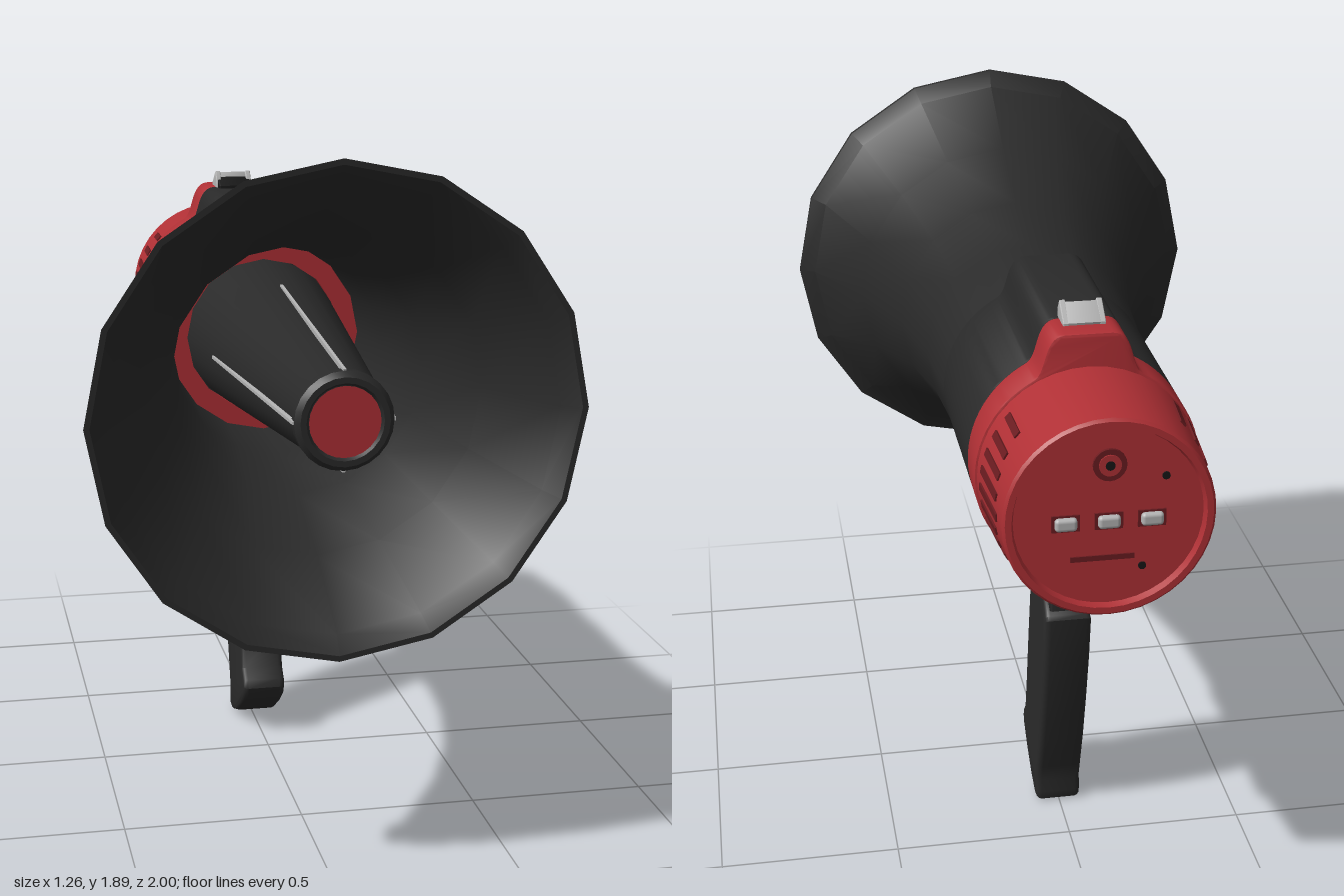
import * as THREE from 'three';
import { toCreasedNormals } from 'three/addons/utils/BufferGeometryUtils.js';
import { RoundedBoxGeometry } from 'three/addons/geometries/RoundedBoxGeometry.js';

const CY = 1.26; // height of the horn axis
const paint = (color) => new THREE.MeshStandardMaterial({ color, side: THREE.DoubleSide });

export function createModel() {
  const model = new THREE.Group();
  const black = paint(0x2a2a2a), dark = paint(0x161616), red = paint(0xb03035);
  const darkRed = paint(0x6a1c20), grey = paint(0xb4b4b4);

  const add = (name, geo, mat, x = 0, y = 0, z = 0, parent = model) => {
    const mesh = new THREE.Mesh(geo, mat);
    mesh.name = name;
    mesh.position.set(x, y, z);
    parent.add(mesh);
    return mesh;
  };
  // Lathe around the z axis from [radius, z] pairs, running back to front on the outside
  const turned = (profile, sides) => toCreasedNormals(
    new THREE.LatheGeometry(profile.map(([r, z]) => new THREE.Vector2(r, z)), sides).rotateX(Math.PI / 2), 0.6);
  // Outline of [z, y] pairs given a thickness along x
  const sideCut = (outline, width, bevel) => {
    const shape = new THREE.Shape(outline.map(([z, y]) => new THREE.Vector2(z, y)));
    const geo = new THREE.ExtrudeGeometry(shape, {
      depth: width - 2 * bevel, bevelEnabled: bevel > 0, bevelThickness: bevel,
      bevelSize: bevel, bevelOffset: -bevel, bevelSegments: 3,
    });
    geo.translate(0, 0, bevel - width / 2).rotateY(-Math.PI / 2);
    return toCreasedNormals(geo, 0.7);
  };

  // Flared horn with a thin wall and a lip
  add('horn', turned([
    [0.288, -0.12], [0.292, -0.1], [0.31, 0.16], [0.357, 0.42], [0.45, 0.68], [0.582, 0.925],
    [0.628, 0.95], [0.63, 0.958], [0.615, 0.958], [0.57, 0.925], [0.438, 0.68],
    [0.345, 0.42], [0.298, 0.16], [0.28, -0.1],
  ], 16), black, 0, CY);

  // Throat ring and reflector cone inside the horn
  add('throatRing', turned([[0.283, -0.1], [0.283, -0.075], [0.225, -0.075], [0.225, -0.1]], 16), red, 0, CY);
  const reflector = new THREE.Group();
  reflector.name = 'reflector';
  reflector.position.y = CY;
  model.add(reflector);
  add('reflectorCone', turned([
    [0.222, -0.1], [0.118, 0.93], [0.125, 0.955], [0.125, 0.985], [0.112, 1], [0.097, 1], [0.09, 0.988], [0, 0.988],
  ], 24), black, 0, 0, 0, reflector);
  add('reflectorCap', new THREE.CircleGeometry(0.09, 24), red, 0, 0, 0.995, reflector);
  const slope = Math.atan2(0.068, 0.78);
  for (let i = 0; i < 4; i++) {
    const arm = new THREE.Group();
    arm.name = 'reflectorRib';
    arm.rotation.z = i * Math.PI / 2;
    reflector.add(arm);
    add('rib', new THREE.BoxGeometry(0.008, 0.012, 0.79), grey, 0, 0.157, 0.59, arm).rotation.x = slope;
  }

  // Round housing section with a soft ridge above and below
  const R = 0.292, a = 0.5, px = R * Math.sin(a), py = R * Math.cos(a);
  const section = new THREE.Shape();
  section.absarc(0, 0, R, a - Math.PI / 2, Math.PI / 2 - a);
  section.bezierCurveTo(px - 0.035, py + 0.02, 0.12, 0.37, 0.06, 0.372);
  section.lineTo(-0.06, 0.372);
  section.bezierCurveTo(-0.12, 0.37, 0.035 - px, py + 0.02, -px, py);
  section.absarc(0, 0, R, Math.PI / 2 + a, 1.5 * Math.PI - a);
  section.bezierCurveTo(0.035 - px, -py - 0.02, -0.12, -0.385, -0.06, -0.388);
  section.lineTo(0.06, -0.388);
  section.bezierCurveTo(0.12, -0.385, px - 0.035, -py - 0.02, px, -py);
  const housing = (name, back, front, mat) => {
    const b = 0.008;
    const geo = new THREE.ExtrudeGeometry(section, {
      depth: front - back - 2 * b, curveSegments: 14, bevelThickness: b,
      bevelSize: b, bevelOffset: -b, bevelSegments: 2,
    });
    add(name, toCreasedNormals(geo, 0.6), mat, 0, CY, back + b);
  };
  housing('housing', -0.592, -0.1, black);
  housing('rearCollar', -0.715, -0.59, red);

  // Tapered tail with a recessed control panel
  add('tail', turned([
    [0, -0.982], [0.236, -0.982], [0.242, -1], [0.258, -1], [0.265, -0.992], [0.286, -0.7], [0.29, -0.6],
  ], 40), red, 0, CY);

  // Arrow-shaped vents, one set on each side of the tail
  for (const side of [1, -1]) {
    for (let i = -4; i <= 4; i++) {
      const y = i * 0.046, front = -0.76, back = -0.945 + 0.4 * Math.abs(y);
      const mid = (front + back) / 2, r = 0.286 + (mid + 0.7) * 0.072;
      const slot = add('ventSlot', new THREE.BoxGeometry(0.008, 0.02, front - back), darkRed,
        side * Math.sqrt(r * r - y * y), CY + y, mid);
      slot.rotation.set(0, side * 0.072, side * Math.asin(y / r), 'ZYX');
    }
  }

  // Control panel: dial, three buttons, slot and pinholes
  const disc = (name, r, depth, mat, x, y) =>
    add(name, new THREE.CylinderGeometry(r, r, depth, 20).rotateX(Math.PI / 2), mat, x, CY + y, -0.983);
  disc('microphoneRim', 0.042, 0.014, darkRed, 0, 0.14);
  disc('microphone', 0.028, 0.02, red, 0, 0.14);
  disc('microphoneHole', 0.012, 0.024, dark, 0, 0.14);
  disc('pinhole', 0.01, 0.006, dark, -0.14, 0.1);
  disc('pinhole', 0.01, 0.006, dark, -0.085, -0.14);
  for (const x of [-0.107, 0, 0.107]) {
    add('buttonSeat', new THREE.BoxGeometry(0.07, 0.044, 0.008), darkRed, x, CY - 0.01, -0.983);
    add('button', new RoundedBoxGeometry(0.056, 0.034, 0.03, 2, 0.01), grey, x, CY - 0.01, -0.986);
  }
  add('panelSlot', new THREE.BoxGeometry(0.16, 0.014, 0.006), darkRed, 0.015, CY - 0.11, -0.983);

  // Rocker switch on top: dark key between two grey cheeks
  add('switchKey', sideCut([[-0.54, 1.62], [-0.54, 1.64], [-0.59, 1.662], [-0.64, 1.63], [-0.64, 1.62]], 0.1, 0.004), dark);
  for (const x of [-0.047, 0.047]) {
    add('switchCheek', sideCut([[-0.57, 1.62], [-0.575, 1.655], [-0.595, 1.68], [-0.655, 1.638], [-0.655, 1.62]], 0.016, 0.003), grey, x);
  }
  add('switchBack', sideCut([[-0.592, 1.66], [-0.6, 1.676], [-0.655, 1.638], [-0.65, 1.62], [-0.6, 1.62]], 0.09, 0.003), grey);

  // Pistol grip with its mount and trigger
  add('gripMount', sideCut([
    [-0.25, 0.9], [-0.25, 0.8], [-0.36, 0.78], [-0.44, 0.74], [-0.47, 0.72], [-0.49, 0.73], [-0.49, 0.9],
  ], 0.11, 0.006), black);
  add('grip', sideCut([
    [-0.3, 0.832], [-0.265, 0.82], [-0.245, 0.79], [-0.215, 0.68], [-0.175, 0.5], [-0.14, 0.32], [-0.115, 0.21],
    [-0.085, 0.18], [-0.077, 0.155], [-0.09, 0.125], [-0.15, 0.075], [-0.23, 0.025], [-0.3, 0], [-0.33, 0.006],
    [-0.338, 0.035], [-0.33, 0.07], [-0.35, 0.13], [-0.39, 0.25], [-0.43, 0.4], [-0.465, 0.55], [-0.49, 0.7],
    [-0.47, 0.705], [-0.445, 0.735], [-0.42, 0.79], [-0.37, 0.825],
  ], 0.13, 0.016), black, 0.003);
  add('trigger', sideCut([
    [-0.3, 0.78], [-0.236, 0.78], [-0.208, 0.68], [-0.178, 0.545], [-0.19, 0.53], [-0.24, 0.53],
  ], 0.036, 0.005), dark, 0.003);

  return model;
}
